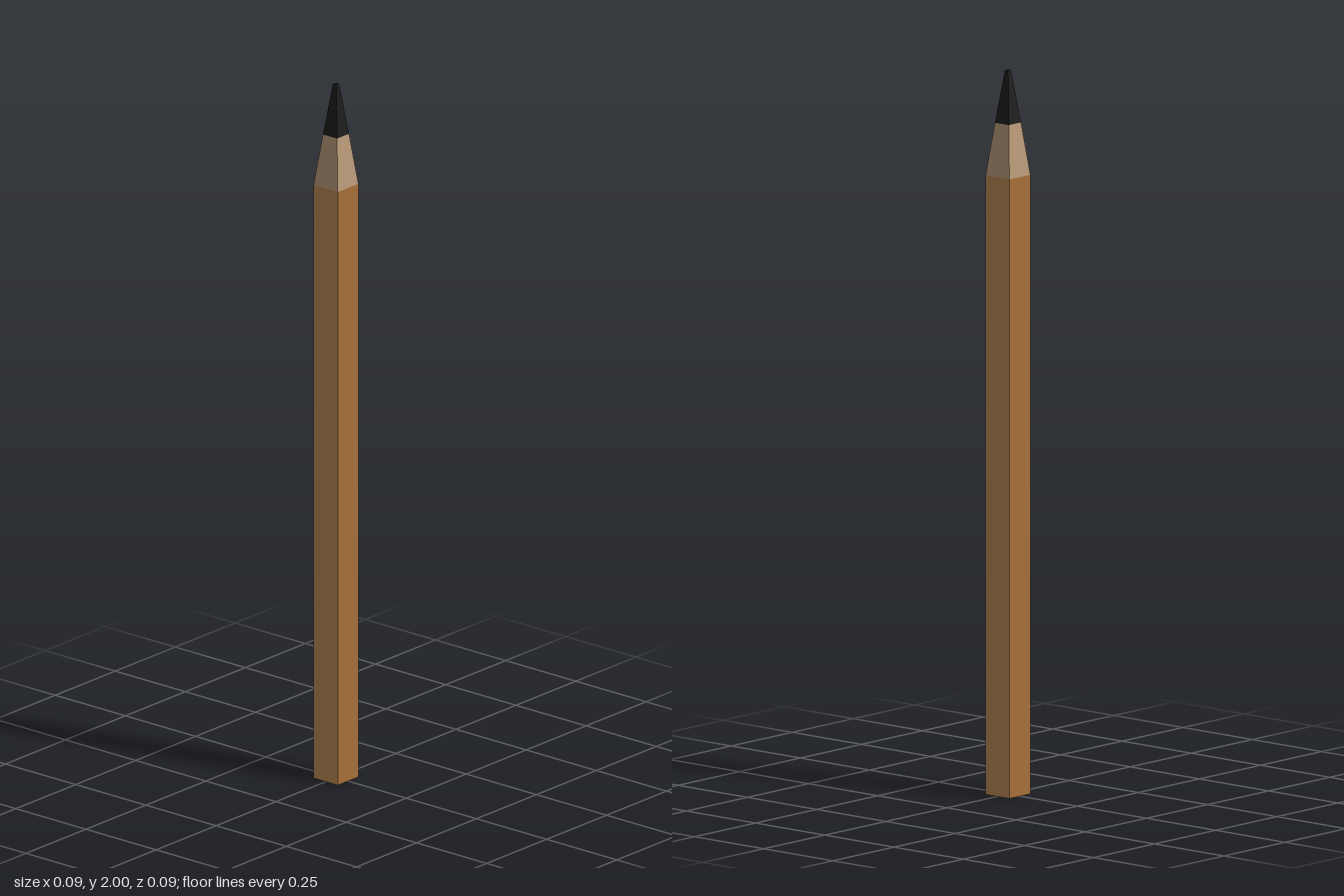
import * as THREE from 'three';

const HALF = 0.043; // half width of the shaft
const SHAFT_TOP = 1.71;
const WOOD_TOP = 1.855;
const TIP_TOP = 2;

function material(color) {
  return new THREE.MeshStandardMaterial({ color, flatShading: true });
}

// Four-sided tapered section between two heights, given half widths
function taper(name, bottomHalf, topHalf, y0, y1, color, open) {
  const geometry = new THREE.CylinderGeometry(
    topHalf * Math.SQRT2, bottomHalf * Math.SQRT2, y1 - y0, 4, 1, open);
  geometry.rotateY(Math.PI / 4);
  geometry.translate(0, (y0 + y1) / 2, 0);
  const mesh = new THREE.Mesh(geometry, material(color));
  mesh.name = name;
  return mesh;
}

export function createModel() {
  const pencil = new THREE.Group();
  pencil.name = 'pencil';

  // Painted shaft: four flat panels, front and back a little browner
  const shaft = new THREE.Group();
  shaft.name = 'shaft';
  const paints = [material(0xa87038), material(0xb58550)];
  ['front', 'left', 'back', 'right'].forEach((side, i) => {
    const geometry = new THREE.PlaneGeometry(HALF * 2, SHAFT_TOP);
    geometry.translate(0, SHAFT_TOP / 2, HALF);
    geometry.rotateY(i * Math.PI / 2);
    const panel = new THREE.Mesh(geometry, paints[i % 2]);
    panel.name = side + 'Panel';
    shaft.add(panel);
  });
  pencil.add(shaft);

  // Grey flat end
  const endGeometry = new THREE.PlaneGeometry(HALF * 2, HALF * 2);
  endGeometry.rotateX(Math.PI / 2);
  const end = new THREE.Mesh(endGeometry, material(0x707070));
  end.name = 'flatEnd';
  pencil.add(end);

  // Sharpened wood and lead tip, blunt at the point
  pencil.add(taper('sharpenedWood', HALF, 0.025, SHAFT_TOP, WOOD_TOP, 0xb89878, true));
  pencil.add(taper('leadTip', 0.025, 0.006, WOOD_TOP, TIP_TOP, 0x1c1c1c, false));

  return pencil;
}
